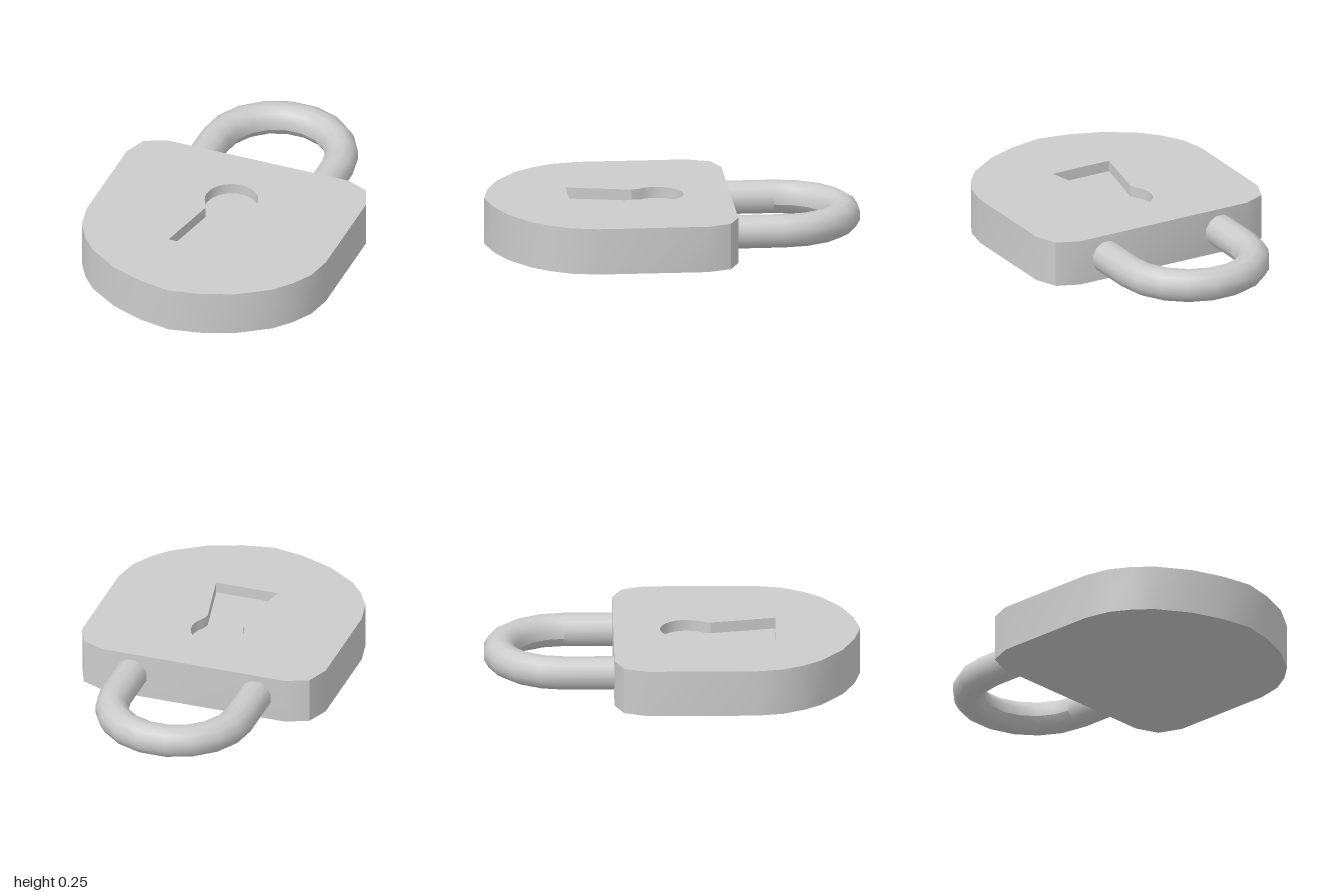
import * as THREE from 'three';
import { mergeGeometries, toCreasedNormals } from 'three/addons/utils/BufferGeometryUtils.js';

const HEIGHT = 0.25, FLOOR = 0.19;      // body thickness and keyhole floor level
const MID = 0.127;                      // height of the shackle's centre line
const BEND = 0.35, ROD = 0.089, SIDES = 12, BEND_Z = -0.573;

// Mirrors a half outline of [x, z] pairs (front to back) into a closed loop,
// counter-clockwise in plan, where plan y = -z.
function mirrored(half) {
  const right = half.map(([x, z]) => new THREE.Vector2(x, -z));
  const left = right.filter(p => p.x > 0).reverse().map(p => new THREE.Vector2(-p.x, p.y));
  return [...right, ...left];
}

// Vertical wall along a loop; faces outward for a counter-clockwise loop.
function wall(loop, y0, y1) {
  const pos = [];
  loop.forEach((a, i) => {
    const b = loop[(i + 1) % loop.length];
    const a0 = [a.x, y0, -a.y], a1 = [a.x, y1, -a.y];
    const b0 = [b.x, y0, -b.y], b1 = [b.x, y1, -b.y];
    pos.push(...a0, ...b0, ...b1, ...a0, ...b1, ...a1);
  });
  return new THREE.BufferGeometry().setAttribute('position', new THREE.Float32BufferAttribute(pos, 3));
}

// Flat face at a given height, facing up or down, optionally with a hole.
function lid(loop, y, up = true, hole = null) {
  const shape = new THREE.Shape(up ? loop : loop.map(p => new THREE.Vector2(p.x, -p.y)));
  if (hole) shape.holes.push(new THREE.Path(hole));
  const g = new THREE.ShapeGeometry(shape).toNonIndexed();
  g.deleteAttribute('uv');
  g.deleteAttribute('normal');
  return g.rotateX(up ? -Math.PI / 2 : Math.PI / 2).translate(0, y, 0);
}

export function createModel() {
  const model = new THREE.Group();
  const material = new THREE.MeshStandardMaterial({ color: 0xcccccc });
  const add = (name, geometry) => {
    const mesh = new THREE.Mesh(geometry, material);
    mesh.name = name;
    model.add(mesh);
    return mesh;
  };

  // Shield-shaped body outline
  const outline = mirrored([
    [0, 1], [0.175, 0.967], [0.345, 0.903], [0.513, 0.79], [0.593, 0.696], [0.656, 0.585],
    [0.685, 0.445], [0.685, -0.14], [0.636, -0.264], [0.515, -0.314],
  ]);

  // Keyhole: flared slot below a round head
  const half = [[0.173, 0.55], [0.1, 0.204]];
  for (let i = 0; i <= 10; i++) {
    const a = -0.65 + (Math.PI / 2 + 0.65) * i / 10;
    half.push([i === 10 ? 0 : 0.143 * Math.cos(a), 0.077 - 0.143 * Math.sin(a)]);
  }
  const keyhole = mirrored(half);

  add('body', toCreasedNormals(mergeGeometries([
    wall(outline, 0, HEIGHT),
    lid(outline, 0, false),
    lid(outline, HEIGHT, true, keyhole),
    wall([...keyhole].reverse(), FLOOR, HEIGHT),
    lid(keyhole, FLOOR),
  ]), Math.PI / 6));

  // Shackle: round rod swept through a half turn, with two straight legs
  const step = Math.PI * 2 / SIDES;
  const section = [];
  for (let i = 0; i <= SIDES; i++) {
    const a = Math.PI + (i + 0.5) * step;
    section.push(new THREE.Vector2(BEND + ROD * Math.cos(a), ROD * Math.sin(a)));
  }
  add('shackleBend', new THREE.LatheGeometry(section, 9, Math.PI / 2, Math.PI))
    .position.set(0, MID, BEND_Z);

  const legLength = -0.3 - BEND_Z;
  for (const [name, side] of [['shackleLegLeft', 1], ['shackleLegRight', -1]]) {
    const leg = new THREE.CylinderGeometry(ROD, ROD, legLength, SIDES, 1, true, step / 2);
    add(name, leg.rotateX(Math.PI / 2)).position.set(side * BEND, MID, BEND_Z + legLength / 2);
  }

  return model;
}
